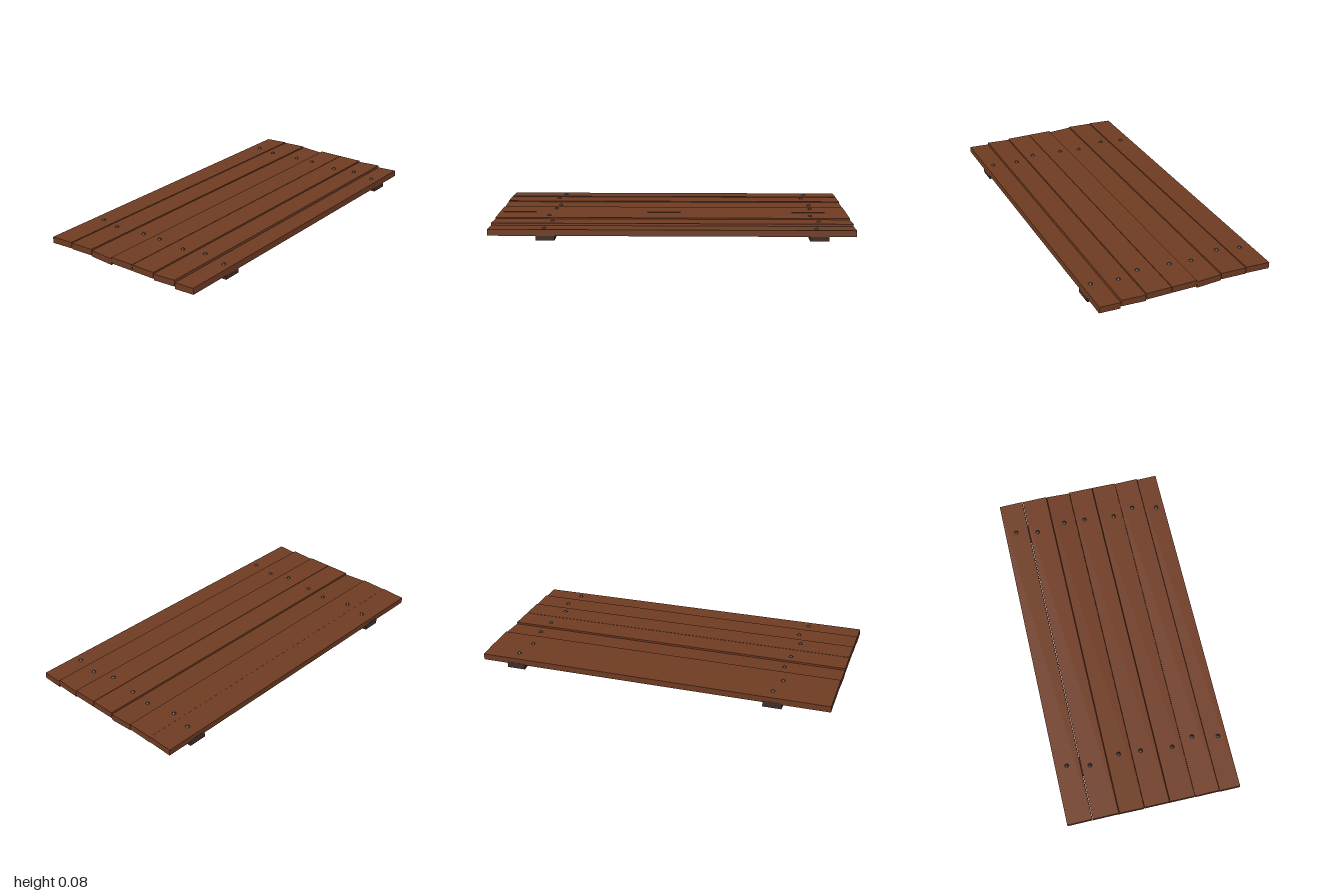
import * as THREE from 'three';

const paint = (name, color) => {
  const m = new THREE.MeshStandardMaterial({ color });
  m.name = name;
  return m;
};

export function createModel() {
  const wood = paint('brown wood', 0x6e3b22);
  const darkWood = paint('dark wood', 0x402c24);
  const iron = paint('dark iron', 0x302a28);
  const model = new THREE.Group();
  model.name = 'plankPanel';

  const add = (name, geometry, material, x, y, z, parent = model) => {
    const mesh = new THREE.Mesh(geometry, material);
    mesh.name = name;
    mesh.position.set(x, y, z);
    parent.add(mesh);
    return mesh;
  };

  // Two battens under the planks
  for (const x of [-0.686, 0.801]) {
    add('batten', new THREE.BoxGeometry(0.104, 0.035, 0.983), darkWood, x, 0.0175, 0.0015);
  }

  // Planks: front z, back z, top y at front, top y at back, nail x, nail z
  const planks = [
    [0.493, 0.376, 0.060, 0.055, -0.695, 0.446],
    [0.373, 0.235, 0.067, 0.060, -0.667, 0.301],
    [0.232, 0.090, 0.067, 0.067, -0.701, 0.177],
    [0.087, -0.055, 0.067, 0.067, -0.683, -0.002],
    [-0.057, -0.198, 0.057, 0.065, -0.673, -0.127],
    [-0.200, -0.346, 0.070, 0.065, -0.702, -0.297],
    [-0.349, -0.490, 0.068, 0.061, -0.675, -0.424],
  ];
  const thickness = 0.035;
  const nailHead = new THREE.ConeGeometry(0.0145, 0.012, 8).toNonIndexed();
  nailHead.computeVertexNormals();

  for (const [zFront, zBack, yFront, yBack, nailX, nailZ] of planks) {
    const group = new THREE.Group();
    group.name = 'nailedPlank';
    model.add(group);

    // Slightly tilted board
    const depth = Math.hypot(zFront - zBack, yFront - yBack);
    const board = add('plank', new THREE.BoxGeometry(2, thickness, depth), wood,
      0, (yFront + yBack - thickness) / 2, (zFront + zBack) / 2, group);
    board.rotation.x = Math.atan2(yBack - yFront, zFront - zBack);

    // One pointed nail head over each batten
    const t = (zFront - nailZ) / (zFront - zBack);
    const top = yFront + (yBack - yFront) * t;
    for (const x of [nailX, nailX + 1.482]) {
      add('nailHead', nailHead, iron, x, top + 0.004, nailZ, group);
    }
  }
  return model;
}
